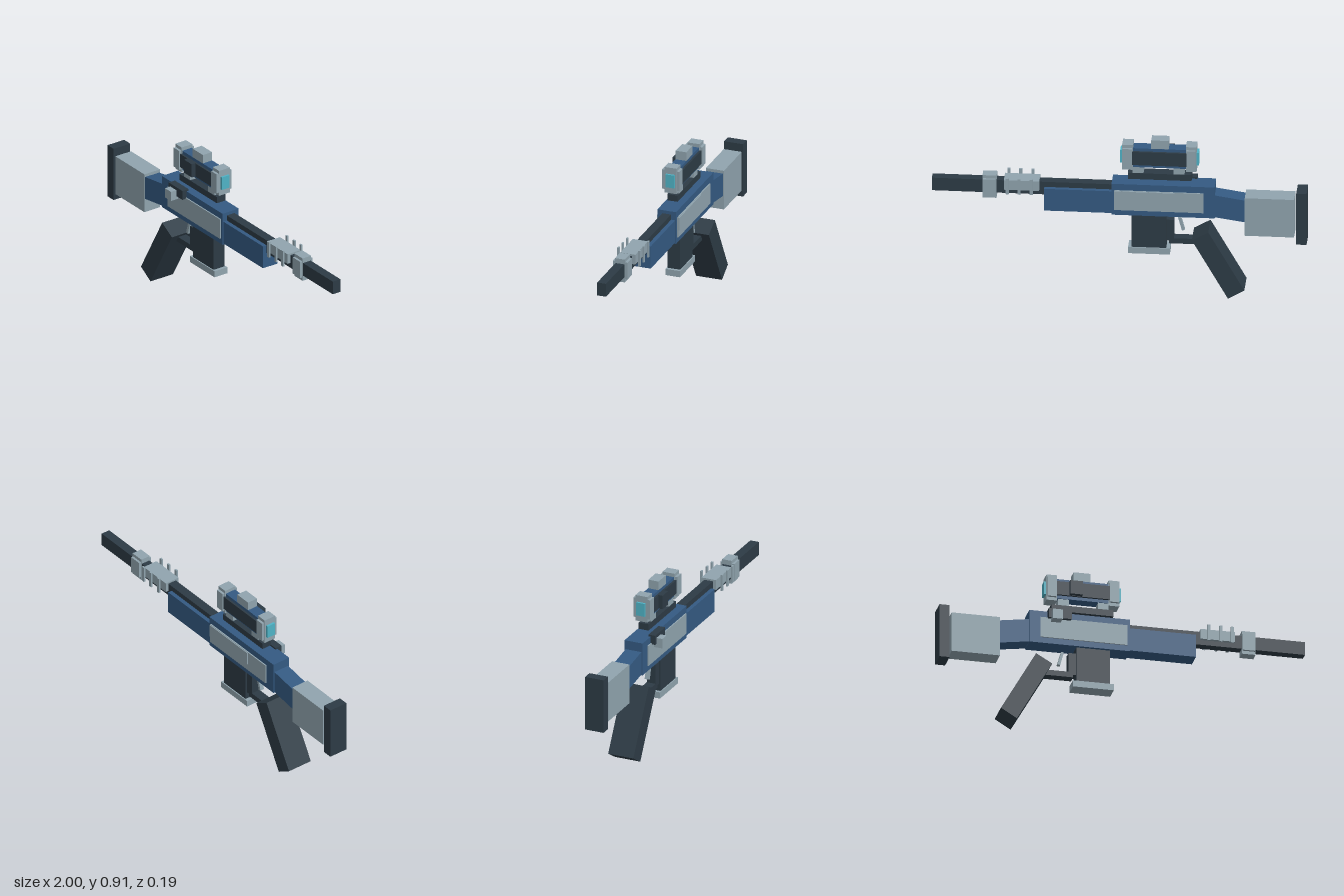
import * as THREE from 'three';

const mat = (name, color) => {
  const m = new THREE.MeshStandardMaterial({ color });
  m.name = name;
  return m;
};

export function createModel() {
  const dark = mat('dark gunmetal', 0x2d3b45);
  const blue = mat('steel blue', 0x345a82);
  const gray = mat('light gray', 0x90a4ae);
  const glass = mat('cyan glass', 0x4fb3c6);
  const model = new THREE.Group();
  model.name = 'rifle';
  const MID = -0.02; // depth of the gun's centre plane

  // box from its extents
  const box = (name, m, x0, x1, y0, y1, z0, z1, parent = model) => {
    const mesh = new THREE.Mesh(new THREE.BoxGeometry(x1 - x0, y1 - y0, z1 - z0), m);
    mesh.position.set((x0 + x1) / 2, (y0 + y1) / 2, (z0 + z1) / 2);
    mesh.name = name;
    parent.add(mesh);
    return mesh;
  };
  // box centred on the gun's plane, with half depth h
  const mid = (name, m, x0, x1, y0, y1, h, parent) =>
    box(name, m, x0, x1, y0, y1, MID - h, MID + h, parent);
  // side outline extruded across the gun's plane
  const slab = (name, m, pts, h) => {
    const shape = new THREE.Shape(pts.map(([x, y]) => new THREE.Vector2(x, y)));
    const mesh = new THREE.Mesh(
      new THREE.ExtrudeGeometry(shape, { depth: 2 * h, bevelEnabled: false }), m);
    mesh.position.z = MID - h;
    mesh.name = name;
    model.add(mesh);
  };
  // collar with stepped corners
  const collar = (name, x0, x1, y0, y1, h, hTop, step) => {
    const g = new THREE.Group();
    g.name = name;
    mid(name + 'Sides', gray, x0 + 0.004, x1 - 0.004, y0 + step, y1 - step, h, g);
    mid(name + 'Core', gray, x0, x1, y0, y1, hTop, g);
    model.add(g);
  };

  // stock
  mid('buttPad', dark, -1, -0.945, 0.33, 0.635, 0.054);
  mid('stock', gray, -0.933, -0.67, 0.37, 0.595, 0.051);
  slab('stockNeck', blue, [[-0.67, 0.448], [-0.505, 0.472], [-0.505, 0.603], [-0.67, 0.578]], 0.046);

  // receiver with side plates
  mid('receiver', blue, -0.51, 0.04, 0.468, 0.653, 0.053);
  mid('sidePlates', gray, -0.45, 0.025, 0.5, 0.616, 0.06);
  box('ejectionCover', gray, -0.3, 0.022, 0.54, 0.614, -0.085, -0.075);

  // bolt
  box('boltBase', dark, -0.41, -0.285, 0.61, 0.663, 0.02, 0.06);
  box('boltKnob', gray, -0.395, -0.342, 0.59, 0.645, 0.045, 0.095);

  // barrel and handguard
  mid('handguard', blue, 0.04, 0.4, 0.475, 0.605, 0.048);
  mid('barrel', dark, 0.04, 1, 0.56, 0.635, 0.025);
  mid('coolingBlock', gray, 0.427, 0.615, 0.588, 0.645, 0.043);
  for (const x of [0.467, 0.533, 0.595])
    for (const s of [-1, 1]) {
      const z = MID + s * 0.06;
      box('coolingFin', gray, x - 0.008, x + 0.008, 0.573, 0.665, z - 0.005, z + 0.005);
    }
  collar('muzzleCollar', 0.655, 0.73, 0.53, 0.663, 0.041, 0.028, 0.018);

  // magazine
  mid('magazine', dark, -0.25, -0.065, 0.27, 0.468, 0.036);
  mid('magazineBase', gray, -0.27, -0.047, 0.235, 0.271, 0.042);

  // grip and trigger
  slab('grip', dark, [[-0.67, 0.053], [-0.583, 0], [-0.39, 0.342], [-0.478, 0.393]], 0.074);
  mid('triggerGuard', dark, -0.43, -0.265, 0.295, 0.326, 0.026);
  mid('triggerGuardPost', dark, -0.29, -0.25, 0.31, 0.436, 0.026);
  slab('trigger', gray, [[-0.347, 0.37], [-0.332, 0.367], [-0.312, 0.442], [-0.326, 0.446]], 0.012);

  // scope
  mid('scopeRail', dark, -0.385, -0.045, 0.674, 0.71, 0.029);
  for (const x of [-0.318, -0.1]) mid('scopeLeg', gray, x - 0.029, x + 0.029, 0.71, 0.768, 0.027);
  mid('scopeTube', blue, -0.385, -0.04, 0.747, 0.86, 0.031);
  mid('scopeSidePanels', dark, -0.375, -0.05, 0.765, 0.843, 0.043);
  box('scopeSideKnob', dark, -0.29, -0.22, 0.767, 0.845, 0.02, 0.047);
  mid('scopeTopKnob', gray, -0.263, -0.17, 0.85, 0.91, 0.03);
  collar('rearScopeCollar', -0.412, -0.355, 0.732, 0.88, 0.049, 0.035, 0.018);
  collar('frontScopeCollar', -0.073, -0.015, 0.732, 0.88, 0.049, 0.035, 0.018);
  mid('rearLens', glass, -0.424, -0.4, 0.768, 0.843, 0.025);
  mid('frontLens', glass, -0.03, -0.004, 0.768, 0.843, 0.025);

  return model;
}
